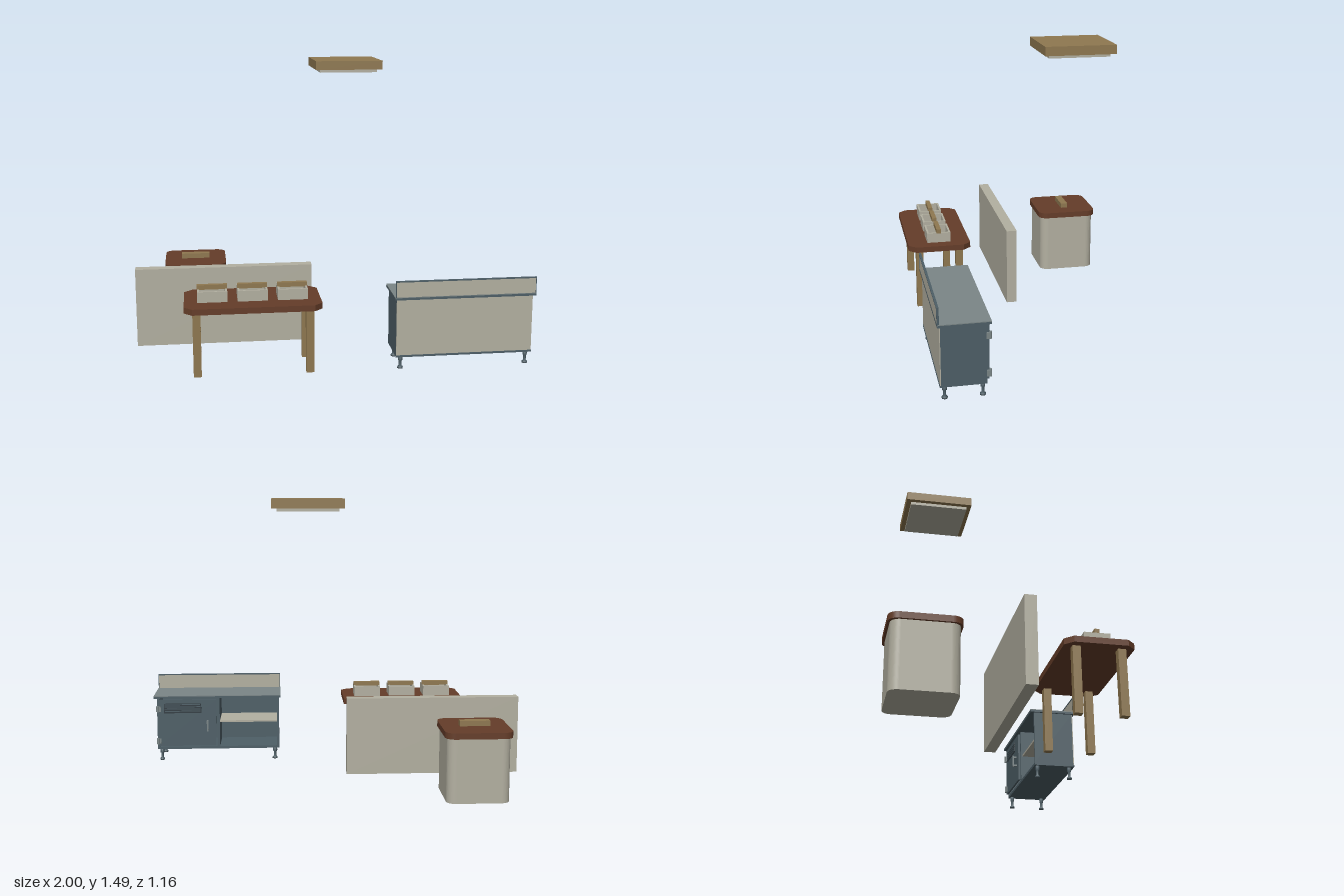
import * as THREE from 'three';

const mat = (name, color) => {
  const m = new THREE.MeshStandardMaterial({ color });
  m.name = name;
  return m;
};

export function createModel() {
  const wood = mat('light wood', 0x8f7850);
  const brown = mat('dark wood', 0x653d29);
  const beige = mat('beige panel', 0xb3b0a1);
  const slate = mat('slate metal', 0x4e5f67);
  const steel = mat('steel top', 0x7b8687);
  const dark = mat('dark metal', 0x323c42);

  const root = new THREE.Group();
  root.name = 'furnitureSet';

  const group = (name) => {
    const g = new THREE.Group();
    g.name = name;
    root.add(g);
    return g;
  };
  const add = (parent, name, geo, material, x = 0, y = 0, z = 0) => {
    const m = new THREE.Mesh(geo, material);
    m.name = name;
    m.position.set(x, y, z);
    parent.add(m);
    return m;
  };
  // Box given by its minimum and maximum on each axis
  const box = (parent, name, material, x0, x1, y0, y1, z0, z1) =>
    add(parent, name, new THREE.BoxGeometry(x1 - x0, y1 - y0, z1 - z0), material,
      (x0 + x1) / 2, (y0 + y1) / 2, (z0 + z1) / 2);
  // Upright slab with rounded or chamfered corners, standing on y = 0
  const slab = (w, d, h, r, round) => {
    const a = w / 2, b = d / 2, s = new THREE.Shape();
    const corner = (cx, cy, ex, ey) => (round ? s.quadraticCurveTo(cx, cy, ex, ey) : s.lineTo(ex, ey));
    const arc = (cx, cy, start) => s.absarc(cx, cy, r, start, start + Math.PI / 2, false);
    if (round) {
      arc(a - r, b - r, 0);
      arc(r - a, b - r, Math.PI / 2);
      arc(r - a, r - b, Math.PI);
      arc(a - r, r - b, Math.PI * 1.5);
    } else {
      s.moveTo(a, r - b);
      s.lineTo(a, b - r); corner(a, b, a - r, b);
      s.lineTo(r - a, b); corner(-a, b, -a, b - r);
      s.lineTo(-a, r - b); corner(-a, -b, r - a, -b);
      s.lineTo(a - r, -b);
    }
    s.closePath();
    return new THREE.ExtrudeGeometry(s, { depth: h, bevelEnabled: false, curveSegments: 8 })
      .rotateX(-Math.PI / 2);
  };

  // Low partition wall
  box(root, 'partitionWall', beige, -1, -0.07, 0, 0.418, -0.01, 0.046);

  // Hanging ceiling panel
  const ceiling = group('ceilingPanel');
  box(ceiling, 'panelFrame', wood, -0.031, 0.324, 1.44, 1.486, -0.434, -0.073);
  box(ceiling, 'panelDiffuser', beige, -0.006, 0.299, 1.424, 1.44, -0.409, -0.098);

  // Bin with lid and handle
  const bin = group('bin');
  add(bin, 'binBody', slab(0.315, 0.315, 0.328, 0.045, true), beige, -0.685, 0, -0.411);
  add(bin, 'binLid', slab(0.338, 0.338, 0.031, 0.05, true), brown, -0.685, 0.327, -0.411);
  box(bin, 'binHandle', wood, -0.762, -0.608, 0.358, 0.385, -0.43, -0.391);

  // Table with chamfered top
  const table = group('table');
  const tx = -0.408, tz = 0.411;
  add(table, 'tableTop', slab(0.673, 0.338, 0.03, 0.04, false), brown, tx, 0.328, tz);
  for (const sx of [-1, 1]) for (const sz of [-1, 1]) {
    add(table, 'tableLeg', new THREE.BoxGeometry(0.039, 0.328, 0.039), wood,
      tx + sx * 0.277, 0.164, tz + sz * 0.109);
  }

  // Three open trays, each with a bar across the top
  for (const i of [-1, 0, 1]) {
    const tray = group('tray');
    const x = tx + i * 0.198, a = 0.074, b = 0.064, t = 0.01;
    box(tray, 'trayBase', beige, x - a, x + a, 0.358, 0.366, tz - b, tz + b);
    for (const s of [-1, 1]) {
      add(tray, 'traySide', new THREE.BoxGeometry(2 * a, 0.046, t), beige, x, 0.389, tz + s * (b - t / 2));
      add(tray, 'trayEnd', new THREE.BoxGeometry(t, 0.046, 2 * (b - t)), beige, x + s * (a - t / 2), 0.389, tz);
    }
    box(tray, 'trayBar', wood, x - a, x + a, 0.409, 0.432, tz - 0.012, tz + 0.012);
  }

  // Counter cabinet, its doors facing -z
  const counter = group('counter');
  const x0 = 0.295, x1 = 0.985, mid = 0.64, zb = 0.337, zf = 0.553;
  box(counter, 'counterEdge', slate, 0.285, 1, 0.361, 0.372, 0.317, 0.563);
  box(counter, 'counterTop', steel, 0.285, 1, 0.372, 0.376, 0.317, 0.563);
  box(counter, 'frontPanel', beige, x0, x1, 0.074, 0.361, zf - 0.004, zf);
  box(counter, 'frontSill', slate, x0 - 0.002, x1 + 0.002, 0.064, 0.074, zf - 0.01, zf + 0.002);
  box(counter, 'innerBack', slate, x0, x1, 0.07, 0.361, zf - 0.01, zf - 0.004);
  box(counter, 'cabinetFloor', slate, x0, x1, 0.064, 0.078, zb, zf - 0.01);
  box(counter, 'rightWall', slate, x0, x0 + 0.012, 0.078, 0.361, zb, zf - 0.004);
  box(counter, 'leftWall', slate, x1 - 0.012, x1, 0.078, 0.361, zb, zf - 0.004);
  box(counter, 'divider', slate, mid - 0.008, mid + 0.008, 0.078, 0.361, zb, zf - 0.01);
  box(counter, 'shelf', beige, x0 + 0.012, mid - 0.008, 0.215, 0.225, zb + 0.01, zf - 0.01);

  // Backsplash with a metal rim
  box(counter, 'backsplash', beige, 0.292, 0.995, 0.376, 0.453, 0.556, 0.563);
  box(counter, 'splashRim', slate, 0.289, 0.998, 0.452, 0.458, 0.554, 0.565);
  for (const x of [0.289, 0.995]) {
    box(counter, 'splashEnd', slate, x, x + 0.003, 0.376, 0.452, 0.554, 0.565);
  }

  // Door with louvres, hinges and pull handle
  box(counter, 'door', slate, mid + 0.012, 0.98, 0.085, 0.352, 0.326, zb);
  box(counter, 'ventPlate', dark, 0.735, 0.945, 0.275, 0.33, 0.324, 0.326);
  for (let i = 0; i < 4; i++) {
    const y = 0.284 + i * 0.0125;
    box(counter, 'ventSlat', slate, 0.74, 0.94, y, y + 0.005, 0.321, 0.324);
  }
  for (const y of [0.115, 0.3]) {
    box(counter, 'hingePlate', steel, 0.962, 0.988, y - 0.015, y + 0.015, 0.32, 0.34);
    add(counter, 'hingePin', new THREE.CylinderGeometry(0.007, 0.007, 0.036, 12), steel, 0.978, y, 0.321);
  }
  box(counter, 'handleGrip', steel, 0.694, 0.704, 0.172, 0.236, 0.302, 0.309);
  for (const y of [0.18, 0.228]) {
    box(counter, 'handlePost', steel, 0.695, 0.703, y - 0.005, y + 0.005, 0.307, 0.327);
  }

  // Turned adjustable feet
  const footProfile = [[0, 0], [0.014, 0], [0.014, 0.008], [0.007, 0.014], [0.007, 0.04],
    [0.011, 0.042], [0.011, 0.065], [0, 0.065]].map(([r, y]) => new THREE.Vector2(r, y));
  for (const x of [0.32, 0.962]) for (const z of [0.355, 0.531]) {
    add(counter, 'foot', new THREE.LatheGeometry(footProfile, 12), slate, x, 0, z);
  }

  return root;
}
